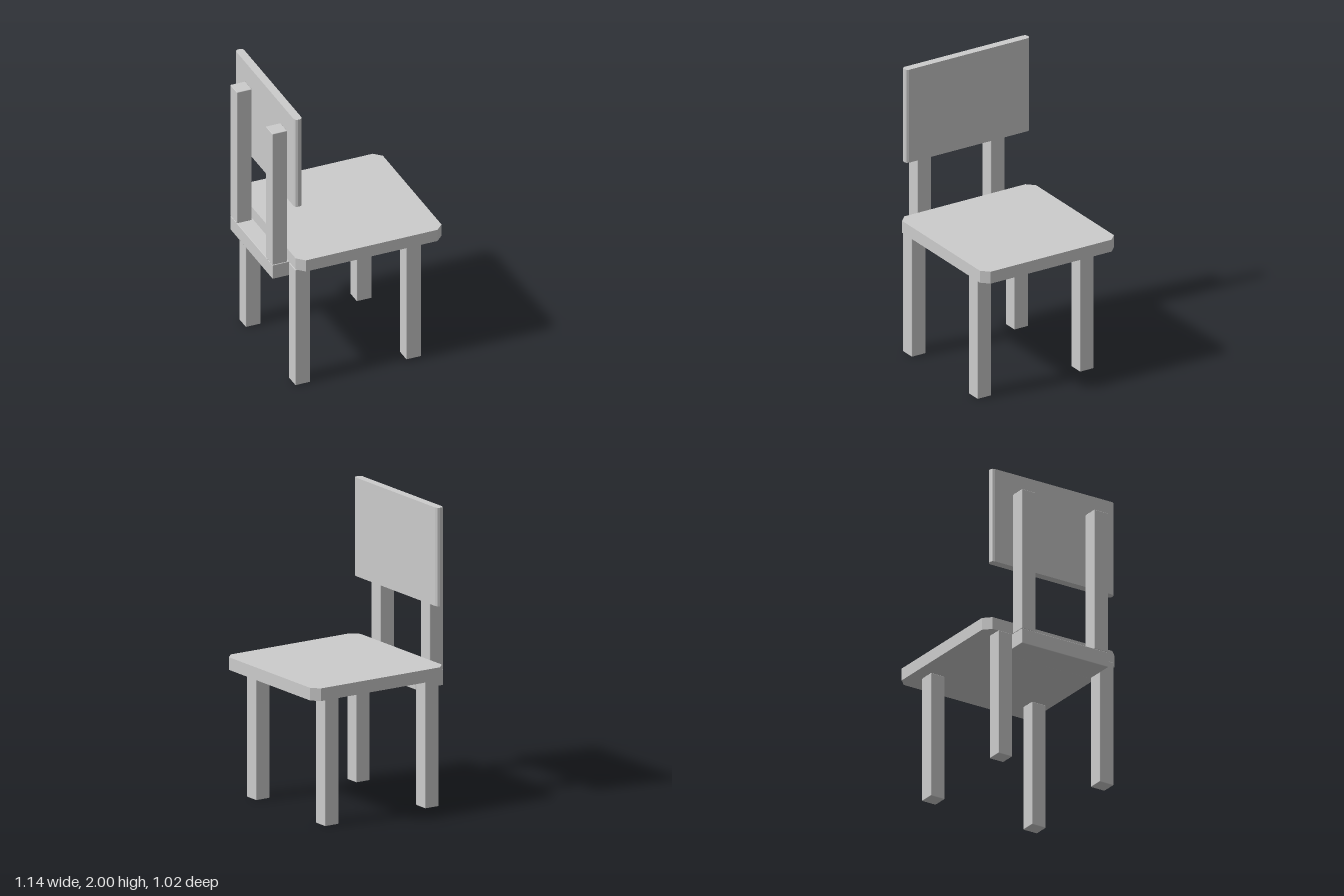
import * as THREE from 'three';
import { RoundedBoxGeometry } from 'three/addons/geometries/RoundedBoxGeometry.js';

const material = new THREE.MeshStandardMaterial({ color: 0xcccccc });

function addMesh(group, name, geometry) {
  const mesh = new THREE.Mesh(geometry, material);
  mesh.name = name;
  group.add(mesh);
  return mesh;
}

// Squared timber with a very fine edge bevel, given by its extents
function addBeam(group, name, [x0, x1], [y0, y1], [z0, z1]) {
  const geometry = new RoundedBoxGeometry(x1 - x0, y1 - y0, z1 - z0, 1, 0.004);
  addMesh(group, name, geometry).position.set((x0 + x1) / 2, (y0 + y1) / 2, (z0 + z1) / 2);
}

// Upright slab whose vertical corners are cut in a number of facets
function addSlab(group, name, [x0, x1], [y0, y1], [z0, z1], radius, facets) {
  const w = (x1 - x0) / 2, d = (z1 - z0) / 2;
  const shape = new THREE.Shape();
  [[1, 1], [-1, 1], [-1, -1], [1, -1]].forEach(([sx, sy], corner) => {
    for (let i = 0; i <= facets; i++) {
      const a = (corner + i / facets) * Math.PI / 2;
      const x = sx * (w - radius) + radius * Math.cos(a);
      const y = sy * (d - radius) + radius * Math.sin(a);
      if (corner === 0 && i === 0) shape.moveTo(x, y);
      else shape.lineTo(x, y);
    }
  });
  const geometry = new THREE.ExtrudeGeometry(shape, { depth: y1 - y0, bevelEnabled: false });
  geometry.rotateX(-Math.PI / 2);
  addMesh(group, name, geometry).position.set((x0 + x1) / 2, y0, (z0 + z1) / 2);
}

export function createModel() {
  const chair = new THREE.Group();
  chair.name = 'chair';

  // Seat with clipped corners
  addSlab(chair, 'seat', [-0.455, 0.57], [0.868, 0.952], [-0.513, 0.511], 0.05, 1);

  // Four legs
  for (const [end, x] of [['rear', [-0.46, -0.355]], ['front', [0.32, 0.425]]]) {
    for (const [side, z] of [['Left', [0.362, 0.468]], ['Right', [-0.42, -0.315]]]) {
      addBeam(chair, `${end}Leg${side}`, x, [0, 0.869], z);
    }
  }

  // Rail under the seat that carries the back posts
  addBeam(chair, 'backRail', [-0.57, -0.355], [0.765, 0.869], [-0.313, 0.355]);

  // Back posts
  for (const [side, z] of [['Left', [0.247, 0.353]], ['Right', [-0.313, -0.207]]]) {
    addBeam(chair, `backPost${side}`, [-0.57, -0.465], [0.869, 1.855], z);
  }

  // Backrest panel with rounded ends
  addSlab(chair, 'backrest', [-0.466, -0.411], [1.345, 2], [-0.474, 0.474], 0.022, 2);

  return chair;
}
